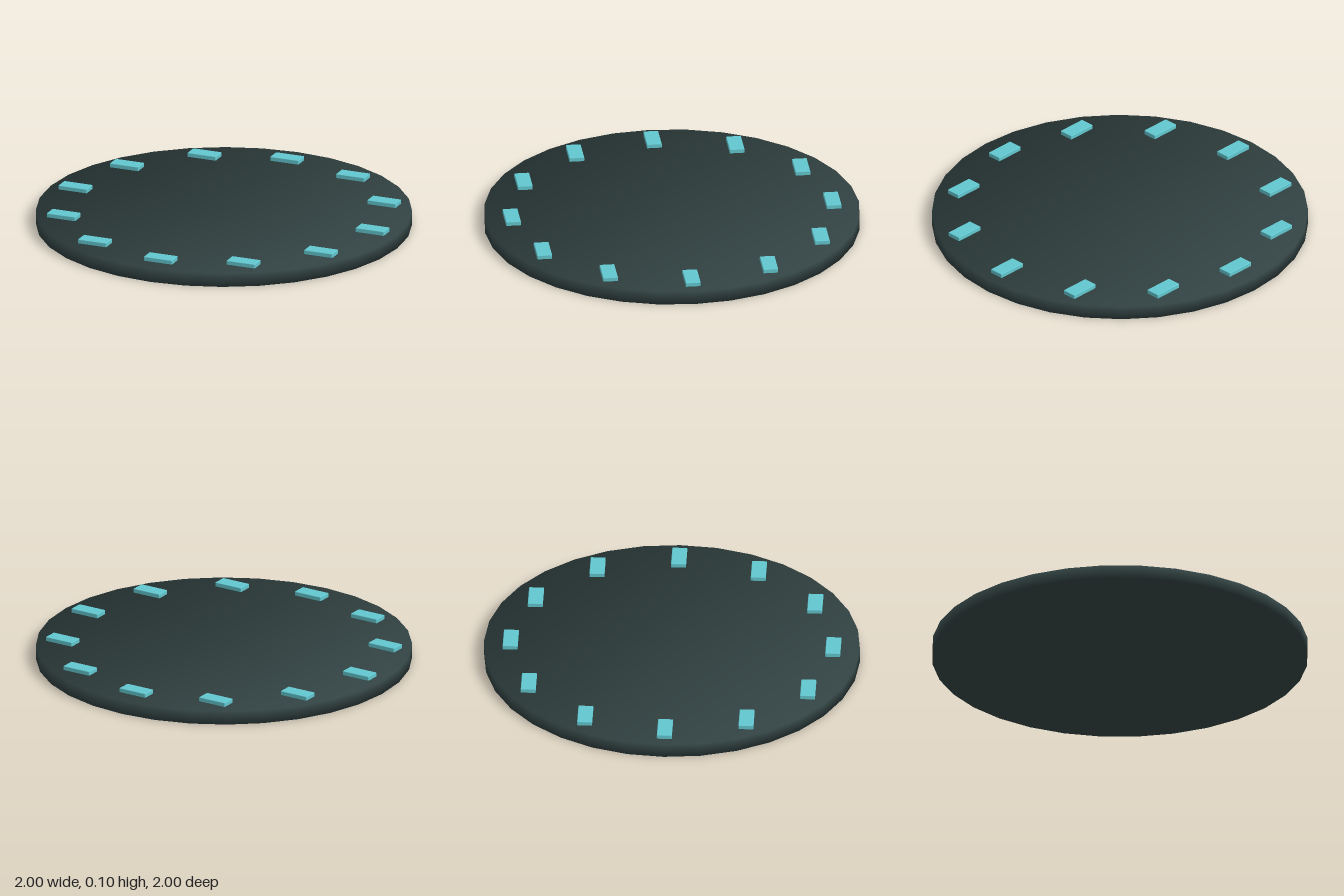
import * as THREE from 'three';
import { RoundedBoxGeometry } from 'three/addons/geometries/RoundedBoxGeometry.js';

const SIDES = 32, THICKNESS = 0.075, MARKER_RING = 0.858;

// Disc whose normals lean outward at the rim, so its shading runs smoothly over every edge
function discGeometry() {
  const rim = Array.from({ length: SIDES }, (_, i) => {
    const a = (i / SIDES) * Math.PI * 2;
    return new THREE.Vector2(Math.cos(a), Math.sin(a));
  });
  const geometry = new THREE.ExtrudeGeometry(new THREE.Shape(rim), { depth: THICKNESS, bevelEnabled: false });
  geometry.rotateX(-Math.PI / 2);
  const { position, normal } = geometry.attributes;
  const n = new THREE.Vector3();
  for (let i = 0; i < position.count; i++) {
    n.fromBufferAttribute(position, i);
    n.y = n.y > THICKNESS / 2 ? 0.94 : -0.94;
    n.normalize();
    normal.setXYZ(i, n.x, n.y, n.z);
  }
  return geometry;
}

export function createModel() {
  const model = new THREE.Group();
  const darkSlate = new THREE.MeshStandardMaterial({ name: 'dark slate', color: 0x324242 });
  const turquoise = new THREE.MeshStandardMaterial({ name: 'turquoise', color: 0x62c8d0 });

  const disc = new THREE.Mesh(discGeometry(), darkSlate);
  disc.name = 'disc';
  model.add(disc);

  // Twelve markers around the rim, all keeping the same orientation
  const markers = new THREE.Group();
  markers.name = 'hourMarkers';
  const block = new RoundedBoxGeometry(0.164, 0.026, 0.08, 2, 0.004);
  for (let i = 0; i < 12; i++) {
    const a = (i / 12) * Math.PI * 2;
    const marker = new THREE.Mesh(block, turquoise);
    marker.name = 'hourMarker' + (i + 1);
    marker.position.set(Math.sin(a) * MARKER_RING, 0.085, -Math.cos(a) * MARKER_RING);
    markers.add(marker);
  }
  model.add(markers);
  return model;
}
